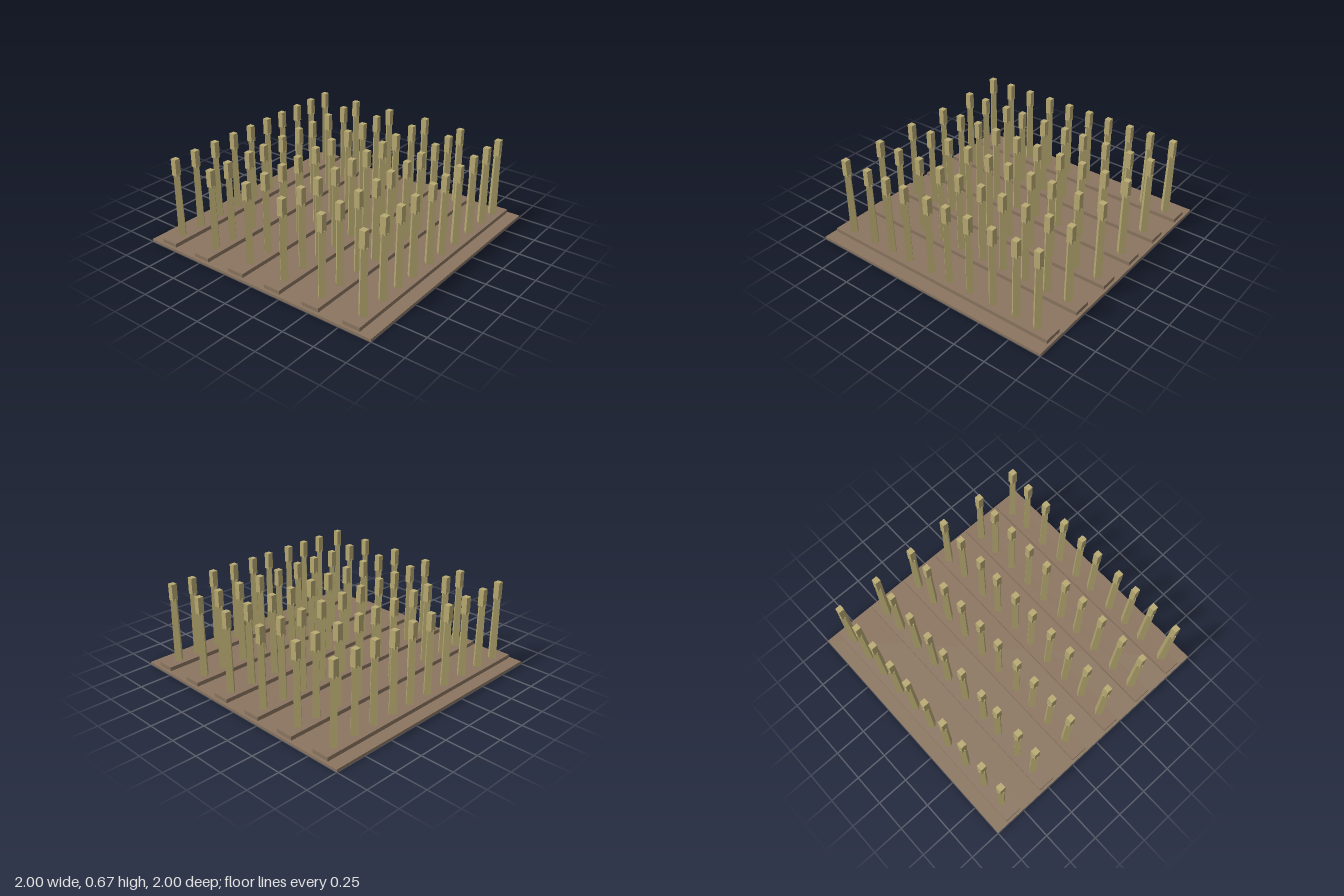
import * as THREE from 'three';

// Slightly irregular x positions of the posts, one list per row from back to front
const ROWS = [
  [-0.85, -0.66, -0.46, -0.26, -0.07, 0.12, 0.3, 0.49, 0.67, 0.86],
  [-0.83, -0.66, -0.445, -0.285, -0.075, 0.12, 0.285, 0.485, 0.69, 0.86],
  [-0.825, -0.64, -0.46, -0.285, -0.085, 0.105, 0.31, 0.5, 0.69, 0.87],
  [-0.845, -0.65, -0.47, -0.28, -0.085, 0.095, 0.295, 0.475, 0.695, 0.885],
  [-0.85, -0.66, -0.455, -0.255, -0.08, 0.12, 0.305, 0.5, 0.69, 0.865],
  [-0.855, -0.635, -0.455, -0.285, -0.07, 0.095, 0.285, 0.485, 0.68, 0.855],
];

export function createModel() {
  const soil = new THREE.MeshStandardMaterial({ name: 'soil brown', color: 0x8b7560 });
  const straw = new THREE.MeshStandardMaterial({ name: 'straw', color: 0xb8aa72 });

  // Shared geometries, each shifted to its height above the ground
  const baseGeo = new THREE.BoxGeometry(2, 0.02, 2).translate(0, 0.01, 0);
  const ridgeGeo = new THREE.BoxGeometry(1.96, 0.035, 0.135).translate(0, 0.0325, 0);
  // Four-sided tapered stalk with its corners on the axes, so the square head sits turned on it
  const stalkGeo = new THREE.CylinderGeometry(0.03, 0.037, 0.54, 4).toNonIndexed().translate(0, 0.28, 0);
  stalkGeo.computeVertexNormals();
  const headGeo = new THREE.BoxGeometry(0.045, 0.13, 0.045).translate(0, 0.605, 0);

  const add = (parent, name, geometry, material) => {
    const mesh = new THREE.Mesh(geometry, material);
    mesh.name = name;
    parent.add(mesh);
    return mesh;
  };

  const field = new THREE.Group();
  field.name = 'field';
  add(field, 'ground', baseGeo, soil);

  // Each row: a raised ridge with ten stalks
  ROWS.forEach((xs, i) => {
    const row = new THREE.Group();
    row.name = `row${i + 1}`;
    row.position.z = (i - 2.5) / 3;
    add(row, 'ridge', ridgeGeo, soil);
    for (const x of xs) {
      const plant = new THREE.Group();
      plant.name = 'plant';
      plant.position.x = x;
      add(plant, 'stalk', stalkGeo, straw);
      add(plant, 'head', headGeo, straw);
      row.add(plant);
    }
    field.add(row);
  });
  return field;
}
